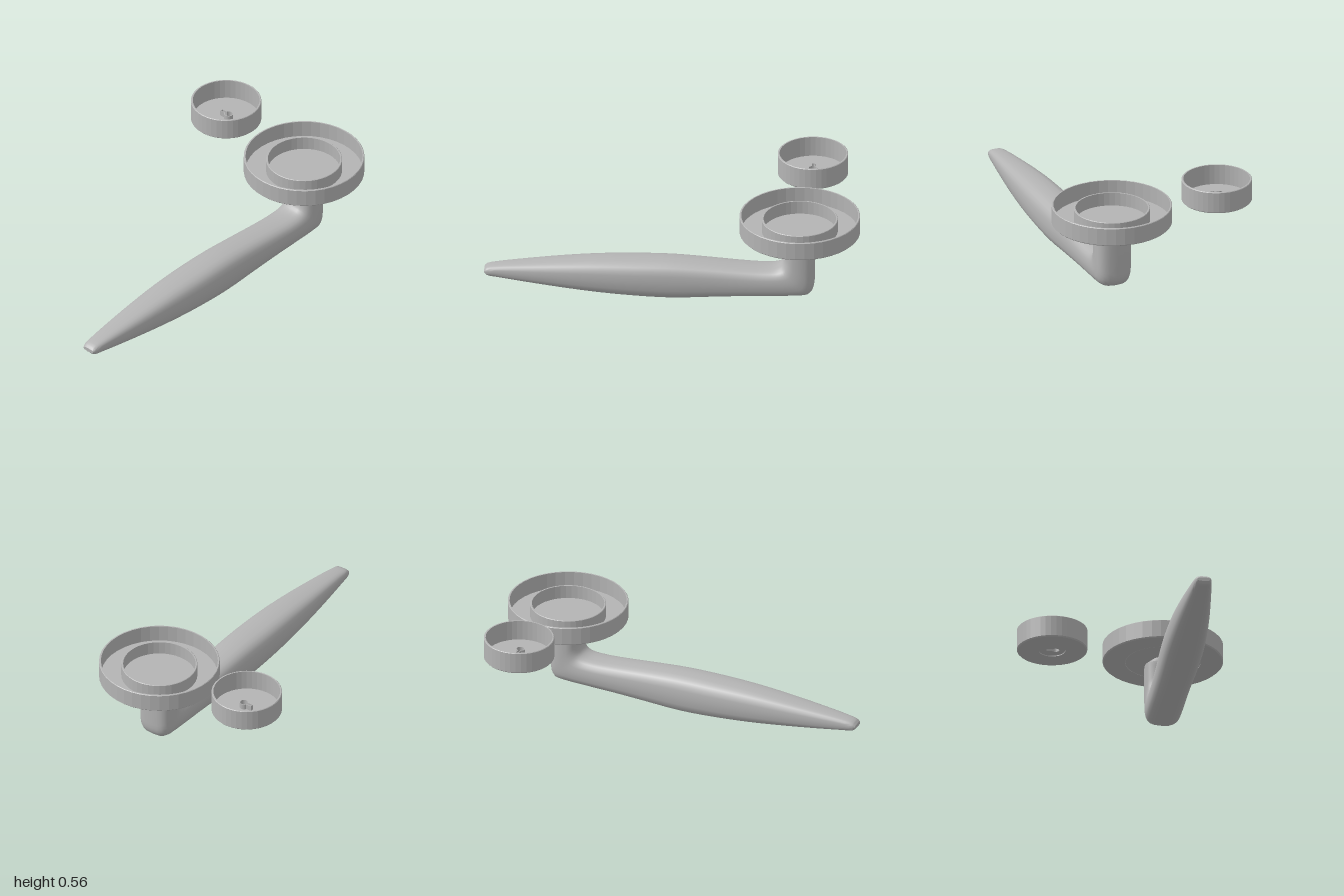
import * as THREE from 'three';
import { toCreasedNormals } from 'three/addons/utils/BufferGeometryUtils.js';

const SEG = 40;

export function createModel() {
  const model = new THREE.Group();
  model.name = 'doorHandleSet';
  const metal = new THREE.MeshStandardMaterial({ color: 0xb4b4b4 });

  function add(parent, name, geometry, x = 0, y = 0, z = 0) {
    const mesh = new THREE.Mesh(geometry, metal);
    mesh.name = name;
    mesh.position.set(x, y, z);
    parent.add(mesh);
    return mesh;
  }

  // Faceted turned part from [radius, height] pairs
  function turned(points) {
    const lathe = new THREE.LatheGeometry(points.map(([r, y]) => new THREE.Vector2(r, y)), SEG);
    return toCreasedNormals(lathe, 0.05);
  }

  // Thin-walled cup, open at the top, with a hole of radius `bore` in its floor
  function cup(r, h, bore, wall = 0.01, bevel = 0.006) {
    return turned([
      [bore, 0], [r - bevel, 0], [r, bevel], [r, h - bevel / 2], [r - bevel / 2, h],
      [r - wall, h], [r - wall, wall], [bore, wall], [bore, 0],
    ]);
  }

  // Lever: [inner x, inner y, outer x, outer y, half width] from tip to neck
  const stations = [
    [-1.0, 0.120, -1.0, 0.100, 0.034],
    [-0.985, 0.134, -0.985, 0.086, 0.042],
    [-0.92, 0.148, -0.92, 0.076, 0.051],
    [-0.8, 0.164, -0.8, 0.061, 0.065],
    [-0.6, 0.187, -0.6, 0.039, 0.085],
    [-0.4, 0.205, -0.4, 0.020, 0.099],
    [-0.2, 0.214, -0.2, 0.008, 0.106],
    [0.0, 0.217, 0.0, 0.003, 0.105],
    [0.2, 0.207, 0.2, 0.015, 0.100],
    [0.4, 0.194, 0.4, 0.028, 0.097],
    [0.5, 0.192, 0.54, 0.035, 0.097],
    [0.55, 0.198, 0.67, 0.042, 0.097],
    [0.582, 0.215, 0.728, 0.052, 0.097],
    [0.597, 0.25, 0.75, 0.085, 0.097],
    [0.6, 0.30, 0.755, 0.16, 0.097],
    [0.6, 0.37, 0.757, 0.37, 0.097],
  ];
  const inner = new THREE.CatmullRomCurve3(stations.map(s => new THREE.Vector3(s[0], s[1], s[4])));
  const outer = new THREE.CatmullRomCurve3(stations.map(s => new THREE.Vector3(s[2], s[3], s[4])));

  function leverGeometry() {
    const sides = 24, steps = (stations.length - 1) * 3;
    const rings = [];
    for (let i = 0; i <= steps; i++) rings.push([inner.getPoint(i / steps), outer.getPoint(i / steps)]);
    // Chamfered top of the neck
    rings.push([new THREE.Vector3(0.607, 0.4, 0.055), new THREE.Vector3(0.75, 0.4, 0.055)]);

    const pos = [], index = [];
    const soft = v => Math.sign(v) * Math.pow(Math.abs(v), 0.68);
    for (const [a, b] of rings) {
      for (let j = 0; j < sides; j++) {
        const t = (j / sides) * Math.PI * 2;
        const k = (1 + soft(Math.sin(t))) / 2;
        pos.push(b.x + (a.x - b.x) * k, b.y + (a.y - b.y) * k, a.z * soft(Math.cos(t)));
      }
    }
    for (let i = 0; i < rings.length - 1; i++) {
      for (let j = 0; j < sides; j++) {
        const n = (j + 1) % sides;
        const a = i * sides + j, b = i * sides + n, c = b + sides, d = a + sides;
        index.push(a, d, c, a, c, b);
      }
    }
    // End caps
    const last = rings.length - 1;
    for (const ring of [0, last]) {
      const [a, b] = rings[ring];
      const centre = pos.length / 3;
      pos.push((a.x + b.x) / 2, (a.y + b.y) / 2, 0);
      for (let j = 0; j < sides; j++) {
        const p = ring * sides + j, q = ring * sides + (j + 1) % sides;
        if (ring === 0) index.push(centre, p, q);
        else index.push(centre, q, p);
      }
    }
    const geometry = new THREE.BufferGeometry();
    geometry.setAttribute('position', new THREE.Float32BufferAttribute(pos, 3));
    geometry.setIndex(index);
    return toCreasedNormals(geometry, 0.5);
  }
  add(model, 'lever', leverGeometry(), 0, 0, 0.225);

  // Handle rose: outer cup with a separate inner cup in its floor
  const rose = new THREE.Group();
  rose.name = 'handleRose';
  rose.position.set(0.675, 0.397, 0.225);
  model.add(rose);
  add(rose, 'roseCover', cup(0.32, 0.102, 0.2));
  add(rose, 'roseInnerCup', cup(0.202, 0.083, 0, 0.01, 0.005));

  // Keyhole rose
  const keyRose = new THREE.Group();
  keyRose.name = 'keyRose';
  keyRose.position.set(0.7, 0.441, -0.363);
  model.add(keyRose);
  add(keyRose, 'keyRoseCover', cup(0.187, 0.121, 0.07));

  // Keyhole outline: round hole with a slot, grown by `g`
  function keyhole(ShapeType, g = 0) {
    const s = new ShapeType(), r = 0.02 + g, w = 0.006 + g, cy = -0.018;
    const a = Math.acos(w / r);
    s.moveTo(w, 0.03 + g);
    s.lineTo(-w, 0.03 + g);
    s.lineTo(-w, cy + r * Math.sin(a));
    s.absarc(0, cy, r, Math.PI - a, Math.PI * 2 + a, false);
    s.closePath();
    return s;
  }
  function extrudeUp(shape, depth) {
    return new THREE.ExtrudeGeometry(shape, { depth, bevelEnabled: false, curveSegments: 20 }).rotateX(-Math.PI / 2);
  }
  const disc = new THREE.Shape().absarc(0, 0, 0.0705, 0, Math.PI * 2, false);
  disc.holes.push(keyhole(THREE.Path));
  add(keyRose, 'keyPlate', extrudeUp(disc, 0.006), 0, 0.005, 0);
  const sleeve = keyhole(THREE.Shape, 0.004);
  sleeve.holes.push(keyhole(THREE.Path));
  add(keyRose, 'keySleeve', extrudeUp(sleeve, 0.035), 0, 0.006, 0);

  return model;
}
